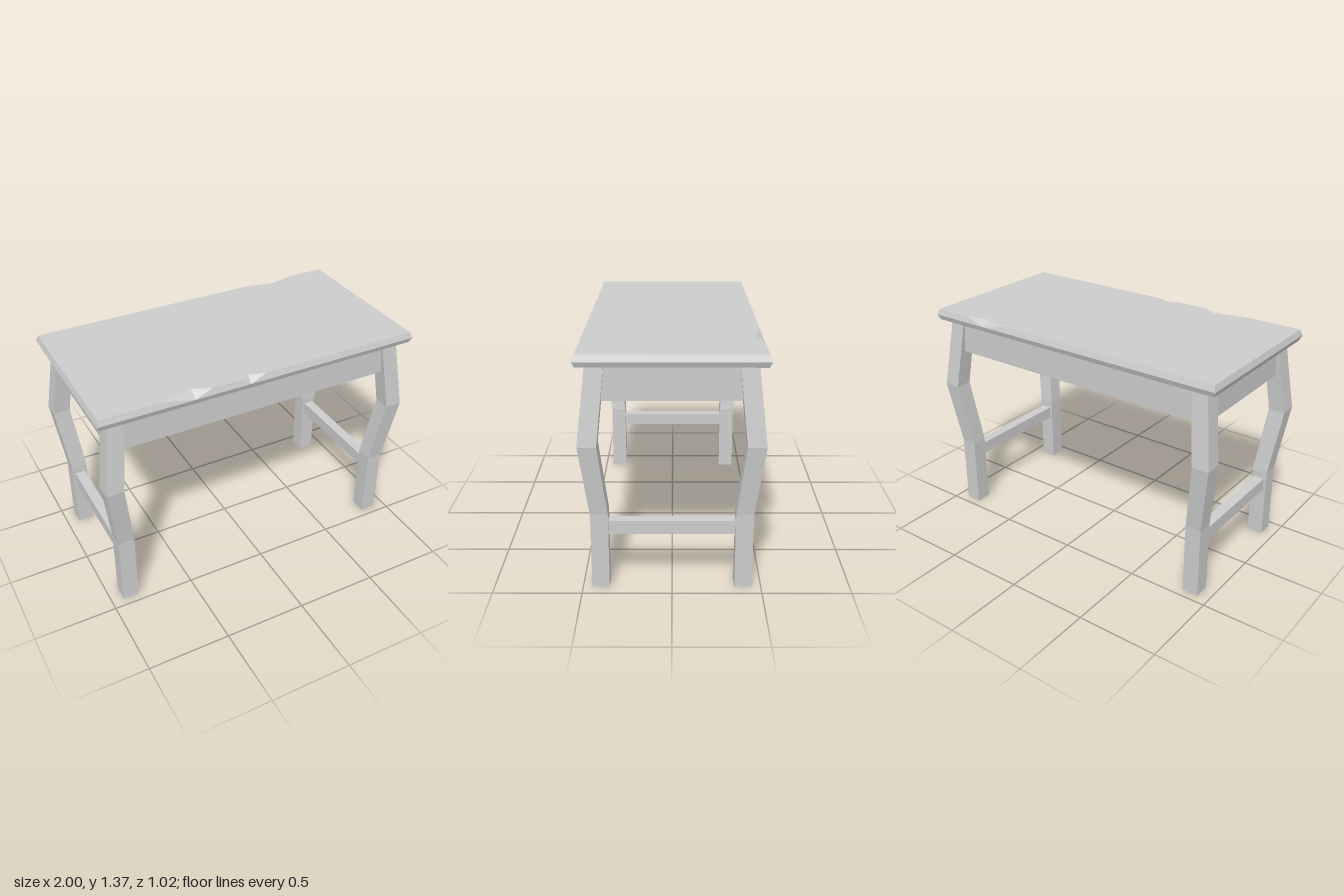
import * as THREE from 'three';

const material = new THREE.MeshStandardMaterial({ color: 0xcccccc, flatShading: true });

// Joins rings of equal point count into a closed, flat-shaded solid.
// Rings run counter-clockwise seen from above, listed from top to bottom.
// flip(i) picks the other diagonal for the quads of segment i.
function loft(rings, flip = () => false) {
  const pos = [];
  const tri = (...pts) => pts.forEach((p) => pos.push(...p));
  const cap = (ring, up) => {
    const flat = ring.map((p) => new THREE.Vector2(p[0], -p[2]));
    for (const [a, b, c] of THREE.ShapeUtils.triangulateShape(flat, [])) {
      if (up) tri(ring[a], ring[b], ring[c]);
      else tri(ring[a], ring[c], ring[b]);
    }
  };
  cap(rings[0], true);
  cap(rings[rings.length - 1], false);
  for (let r = 0; r < rings.length - 1; r++) {
    const up = rings[r], low = rings[r + 1], n = up.length;
    for (let i = 0; i < n; i++) {
      const j = (i + 1) % n;
      if (flip(i)) {
        tri(up[i], low[i], up[j]);
        tri(up[j], low[i], low[j]);
      } else {
        tri(up[i], low[i], low[j]);
        tri(up[i], low[j], up[j]);
      }
    }
  }
  const g = new THREE.BufferGeometry();
  g.setAttribute('position', new THREE.Float32BufferAttribute(pos, 3));
  g.computeVertexNormals();
  return g;
}

function addMesh(parent, name, geometry, x = 0, y = 0, z = 0) {
  const mesh = new THREE.Mesh(geometry, material);
  mesh.name = name;
  mesh.position.set(x, y, z);
  parent.add(mesh);
}

// Slab with a pointed edge and chips broken out of the long edges
function tableTop() {
  const yTop = 1.37, yMid = 1.334, yLow = 1.302;
  const X = 1, Z = 0.508, inset = 0.013;
  const top = [], mid = [], low = [], flips = new Set();
  const corner = (sx, sz) => {
    const x = sx * (X - inset), z = sz * (Z - inset);
    top.push([x, yTop, z]);
    mid.push([sx * X, yMid, sz * Z]);
    low.push([x, yLow, z]);
  };
  // A chip starts at x0, is deepest at x1 and ends at x2
  const chip = (side, x0, x1, x2, depthZ) => {
    const z = side * (Z - inset);
    flips.add(top.length + 1);
    [x0, x1, x2].forEach((x, k) => {
      top.push([x, yTop, k === 1 ? side * depthZ : z]);
      mid.push([x, yMid, side * Z]);
      low.push([x, yLow, z]);
    });
  };
  corner(-1, 1);
  chip(1, -0.62, -0.44, -0.33, 0.45);
  chip(1, -0.16, -0.1, 0, 0.465);
  corner(1, 1);
  corner(1, -1);
  chip(-1, 0.75, 0.6, 0.43, 0.458);
  corner(-1, -1);
  return loft([top, mid, low], (i) => flips.has(i));
}

// Leg that bows outwards at the knee, built for one corner
function legGeometry(sx, sz) {
  // height, centre x, centre z, half width
  const levels = [
    [1.302, 0.878, 0.402, 0.049],
    [0.865, 0.932, 0.449, 0.052],
    [0.447, 0.878, 0.4, 0.049],
    [0, 0.878, 0.4, 0.049],
  ];
  return loft(levels.map(([y, cx, cz, h]) =>
    [[-1, 1], [1, 1], [1, -1], [-1, -1]].map(([a, b]) => [sx * cx + a * h, y, sz * cz + b * h])));
}

// Rectangular frame under the top
const apron = { w: 0.913, d: 0.438, t: 0.08, bottom: 1.1, height: 0.202 };

function apronGeometry() {
  const { w, d, t, height } = apron;
  const rect = (P, x, z) => {
    const p = new P();
    p.moveTo(-x, -z);
    p.lineTo(x, -z);
    p.lineTo(x, z);
    p.lineTo(-x, z);
    p.closePath();
    return p;
  };
  const shape = rect(THREE.Shape, w, d);
  shape.holes.push(rect(THREE.Path, w - t, d - t));
  const g = new THREE.ExtrudeGeometry(shape, { depth: height, bevelEnabled: false });
  return g.rotateX(-Math.PI / 2);
}

export function createModel() {
  const model = new THREE.Group();
  model.name = 'table';

  addMesh(model, 'tableTop', tableTop());
  addMesh(model, 'apron', apronGeometry(), 0, apron.bottom, 0);

  // Panel closing the frame, set back from its lower edge
  const { w, d, t } = apron;
  addMesh(model, 'underPanel', new THREE.BoxGeometry(2 * (w - t), 0.107, 2 * (d - t)), 0, 1.2485, 0);

  for (const sx of [1, -1]) {
    const side = sx > 0 ? 'left' : 'right';
    for (const sz of [1, -1]) {
      addMesh(model, `${side}${sz > 0 ? 'Front' : 'Back'}Leg`, legGeometry(sx, sz));
    }
    // Low rail joining the front and back legs
    addMesh(model, `${side}Stretcher`, new THREE.BoxGeometry(0.065, 0.08, 0.74), sx * 0.878, 0.361, 0);
  }
  return model;
}
